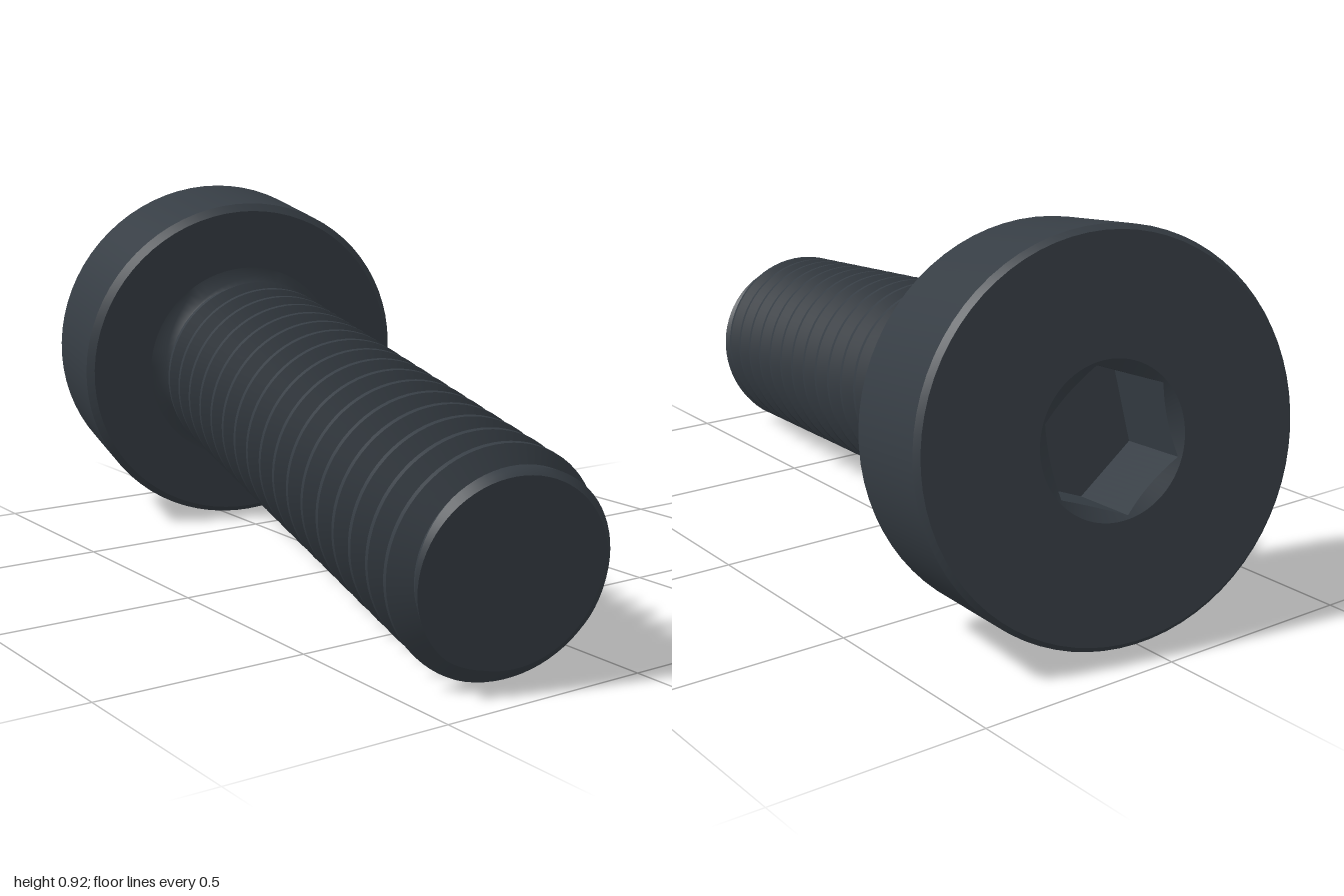
import * as THREE from 'three';
import { toCreasedNormals } from 'three/addons/utils/BufferGeometryUtils.js';

const TAU = Math.PI * 2;
const HEAD = 0.31;            // head height along the axis
const END = 1.9;              // axial position of the tip
const PITCH = 0.0888, CREST = 0.25, ROOT = 0.202;
const FILLET = 0.07;
const clamp = THREE.MathUtils.clamp;

// Skin around the local x axis; each row maps an angle to [axial, radius]
function skin(rows, segments, crease) {
  const grid = rows.map((row) => Array.from({ length: segments + 1 }, (_, j) => {
    const a = (j / segments) * TAU;
    const [t, r] = row(a);
    return new THREE.Vector3(t, r * Math.cos(a), r * Math.sin(a));
  }));
  const points = [];
  const face = (a, b, c) => {
    // Skip faces that collapse at poles and clipped thread ends
    if (new THREE.Triangle(a, b, c).getArea() > 1e-9) points.push(a, b, c);
  };
  for (let i = 0; i < rows.length - 1; i++) {
    for (let j = 0; j < segments; j++) {
      const [a, b] = [grid[i][j], grid[i][j + 1]];
      const [c, d] = [grid[i + 1][j], grid[i + 1][j + 1]];
      face(a, b, c);
      face(b, d, c);
    }
  }
  return toCreasedNormals(new THREE.BufferGeometry().setFromPoints(points), crease);
}

const ring = (t, r) => () => [t, r];

// Hexagon radius at an angle
const SOCKET_TURN = (50 * Math.PI) / 180;
function hexRadius(a) {
  const k = Math.PI / 3;
  const m = (((a - SOCKET_TURN) % k) + k) % k;
  return (0.165 * Math.cos(k / 2)) / Math.cos(m - k / 2);
}

// Thread radius, with neck fillet at the head and chamfer at the tip
function shaftRadius(t, a) {
  const phase = t - 1.804 - (PITCH * a) / TAU;
  const d = Math.abs(phase - PITCH * Math.round(phase / PITCH));
  const fade = clamp((t - 0.345) / 0.04, 0, 1);
  const thread = ROOT + (CREST - ROOT) * fade * clamp((0.0334 - d) / 0.0269, 0, 1);
  const f = clamp(FILLET - (t - HEAD), 0, FILLET);
  const neck = ROOT + FILLET - Math.sqrt(Math.max(0, FILLET * FILLET - f * f));
  const chamfer = 0.213 + (END - t) * 0.75;
  return Math.min(Math.max(thread, neck), chamfer);
}

export function createModel() {
  const steel = new THREE.MeshStandardMaterial({ color: 0x363d44 });
  steel.name = 'blackenedSteel';
  const bolt = new THREE.Group();
  bolt.name = 'bolt';
  const add = (name, geometry) => {
    const mesh = new THREE.Mesh(geometry, steel);
    mesh.name = name;
    bolt.add(mesh);
  };

  // Hexagonal socket with a countersunk rim
  const depth = 0.2;
  add('hexSocket', skin([
    ring(depth, 0),
    (a) => [depth, hexRadius(a)],
    (a) => [(0.172 - hexRadius(a)) * 0.6, hexRadius(a)],
    ring(0, 0.172),
  ], 72, 0.4));

  // Cylindrical head with small edge chamfers
  add('head', skin([
    ring(0, 0.172), ring(0, 0.436), ring(0.012, 0.448),
    ring(HEAD - 0.018, 0.448), ring(HEAD, 0.43), ring(HEAD, 0.2),
  ], 72, 0.4));

  // Threaded shaft: rows follow the helix and are clipped at both ends
  const rows = [];
  const steps = [-0.0065, 0.0065, 0.02, 0.0334, 0.0554, 0.0688];
  for (let n = -18; n <= 1; n++) {
    for (const s of steps) {
      rows.push((a) => {
        const t = clamp(1.804 + n * PITCH + s + (PITCH * a) / TAU, HEAD, END);
        return [t, shaftRadius(t, a)];
      });
    }
  }
  add('threadedShaft', skin(rows, 72, 0.6));

  // Flat tip
  add('tip', skin([(a) => [END, shaftRadius(END, a)], ring(END, 0)], 72, 0.4));

  // Tilted resting pose
  bolt.quaternion.setFromUnitVectors(
    new THREE.Vector3(1, 0, 0),
    new THREE.Vector3(1, -0.129, 0.209).normalize());
  bolt.position.set(-0.897, 0.4835, -0.092);

  const model = new THREE.Group();
  model.name = 'socketHeadBolt';
  model.add(bolt);
  return model;
}
